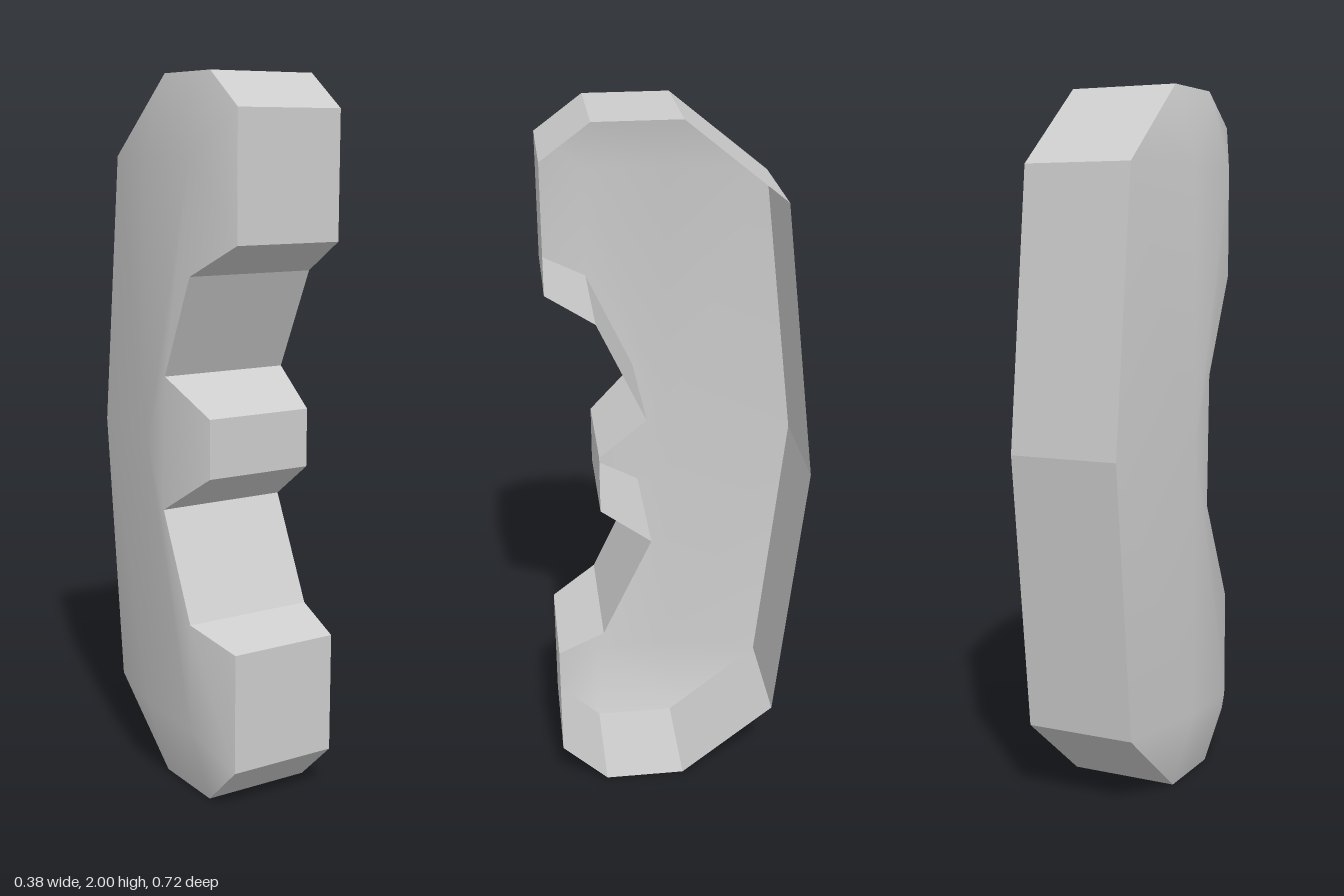
import * as THREE from 'three';

const shellGray = new THREE.MeshStandardMaterial({ color: 0xcccccc, side: THREE.DoubleSide });
shellGray.name = 'shellGray';

const OPEN_X = 0.19;   // open edge of the shell
const RIM_X = -0.13;   // bevelled rim
const FACE_X = -0.193; // raised side face

// Raised side face, as [z, y]
const inner = [
  [0.23, 1.78], [0, 1.78], [0, 1], [0, 0.22], [0.23, 0.22],
  [0.23, 0.525], [0.09, 0.82], [0.1, 1.195], [0.23, 1.475],
];

// Outline from the front top, over the back and round: [z, y, matching inner point, lies on raised face]
const rim = [
  [0.36, 1.905, 0], [0.23, 2, 0], [0, 2, 1], [-0.27, 1.78, 1], [-0.357, 1, 2],
  [-0.27, 0.215, 3], [0, 0, 3], [0.23, 0, 4], [0.36, 0.125, 4], [0.36, 0.465, 5],
  [0.23, 0.525, 5, true], [0.09, 0.82, 6, true], [0.23, 0.925, 6], [0.23, 1.09, 7],
  [0.1, 1.195, 7, true], [0.23, 1.475, 8, true], [0.36, 1.56, 8],
];

function makeGeometry(points, index) {
  const g = new THREE.BufferGeometry();
  g.setAttribute('position', new THREE.Float32BufferAttribute(points.flat(), 3));
  g.setIndex(index);
  return g;
}

// Flat band that follows the outline from the side face to the open edge
function edgeWall() {
  const points = [], index = [], n = rim.length;
  rim.forEach(([z, y, , raised], i) => {
    points.push([raised ? FACE_X : RIM_X, y, z], [OPEN_X, y, z]);
    const a = i * 2, b = ((i + 1) % n) * 2;
    index.push(a, a + 1, b + 1, a, b + 1, b);
  });
  const g = makeGeometry(points, index).toNonIndexed();
  g.computeVertexNormals();
  return g;
}

// Smooth side: a bevel from the rim up to the raised face
function sideFace() {
  const points = inner.map(([z, y]) => [FACE_X, y, z]);
  const index = [], n = rim.length;
  // Rim corners on the raised face share its points
  const ids = rim.map(([z, y, k, raised]) => (raised ? k : points.push([RIM_X, y, z]) - 1));
  const addTriangle = (a, b, c) => {
    if (a !== b && b !== c && a !== c) index.push(a, b, c);
  };
  for (let i = 0; i < n; i++) {
    const j = (i + 1) % n;
    addTriangle(ids[i], ids[j], rim[j][2]);
    addTriangle(ids[i], rim[j][2], rim[i][2]);
  }
  const contour = inner.map(([z, y]) => new THREE.Vector2(z, y));
  THREE.ShapeUtils.triangulateShape(contour, []).forEach((t) => addTriangle(...t));
  const g = makeGeometry(points, index);
  g.computeVertexNormals();
  return g;
}

export function createModel() {
  const group = new THREE.Group();
  group.name = 'notchedShell';
  const parts = { edgeWall: edgeWall(), sideFace: sideFace() };
  for (const [name, geometry] of Object.entries(parts)) {
    const mesh = new THREE.Mesh(geometry, shellGray);
    mesh.name = name;
    group.add(mesh);
  }
  return group;
}
